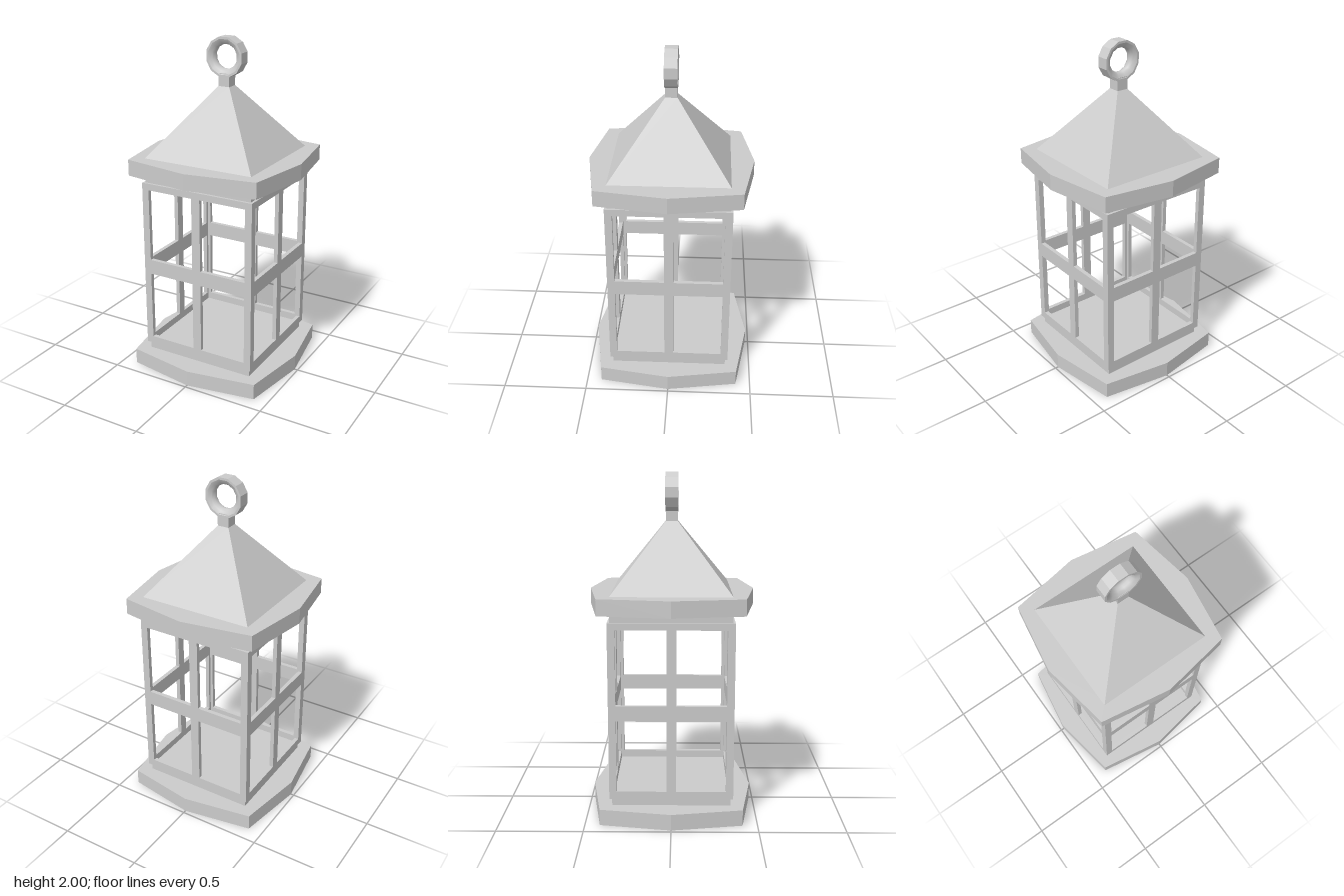
import * as THREE from 'three';

const flat = new THREE.MeshStandardMaterial({ color: 0xcccccc, flatShading: true });
const thin = new THREE.MeshStandardMaterial({ color: 0xcccccc, flatShading: true, side: THREE.DoubleSide });
const smooth = new THREE.MeshStandardMaterial({ color: 0xcccccc });

function add(parent, name, geometry, material = flat) {
  const mesh = new THREE.Mesh(geometry, material);
  mesh.name = name;
  parent.add(mesh);
  return mesh;
}

// rectangular outline, as a Shape or a hole Path
function rect(Type, x0, y0, x1, y1) {
  return new Type([[x0, y0], [x1, y0], [x1, y1], [x0, y1]].map(([x, y]) => new THREE.Vector2(x, y)));
}

// eight-cornered slab outline with slightly bowed sides
function slabShape() {
  const c = 0.413, m = 0.481;
  return new THREE.Shape([[c, c], [0, m], [-c, c], [-m, 0], [-c, -c], [0, -m], [c, -c], [m, 0]]
    .map(([x, y]) => new THREE.Vector2(x, y)));
}

// extrude a floor-plan outline upward from y0 to y1
function rise(shape, y0, y1) {
  return new THREE.ExtrudeGeometry(shape, { depth: y1 - y0, bevelEnabled: false })
    .rotateX(-Math.PI / 2).translate(0, y0, 0);
}

export function createModel() {
  const lantern = new THREE.Group();
  lantern.name = 'lantern';

  // base and raised floor
  add(lantern, 'baseSlab', rise(slabShape(), 0, 0.095));
  add(lantern, 'floorPlinth', rise(rect(THREE.Shape, -0.345, -0.345, 0.345, 0.345), 0.095, 0.14));

  // four window frames, each with four panes left open
  for (let i = 0; i < 4; i++) {
    const half = i % 2 ? 0.335 : 0.36;
    const shape = rect(THREE.Shape, -half, 0.14, half, 1.18);
    for (const [x0, x1] of [[-0.317, -0.027], [0.027, 0.317]])
      for (const [y0, y1] of [[0.185, 0.61], [0.7, 1.14]])
        shape.holes.push(rect(THREE.Path, x0, y0, x1, y1));
    const geometry = new THREE.ExtrudeGeometry(shape, { depth: 0.025, bevelEnabled: false });
    geometry.translate(0, 0, 0.335).rotateY(i * Math.PI / 2);
    add(lantern, 'windowFrame', geometry);
  }

  // collar and eave, open to the hollow roof
  const collar = rect(THREE.Shape, -0.345, -0.345, 0.345, 0.345);
  const eave = slabShape();
  for (const s of [collar, eave]) s.holes.push(rect(THREE.Path, -0.325, -0.325, 0.325, 0.325));
  add(lantern, 'collar', rise(collar, 1.18, 1.23));
  add(lantern, 'eaveSlab', rise(eave, 1.23, 1.325));

  // pyramid roof
  const roof = new THREE.CylinderGeometry(0.035 * Math.SQRT2, 0.345 * Math.SQRT2, 0.395, 4, 1, true);
  add(lantern, 'roof', roof.rotateY(Math.PI / 4).translate(0, 1.5225, 0), thin);

  // stem and hanging ring with a flared hole
  add(lantern, 'ringStem', new THREE.BoxGeometry(0.07, 0.08, 0.07).translate(0, 1.755, 0));
  const ring = new THREE.Group();
  ring.name = 'hangingRing';
  ring.position.y = 1.887;
  lantern.add(ring);
  const lathe = (points) => new THREE.LatheGeometry(
    points.map(([r, y]) => new THREE.Vector2(r, y)), 12, Math.PI / 12).rotateX(Math.PI / 2);
  add(ring, 'ringBand', lathe([[0.104, -0.037], [0.117, -0.037], [0.117, 0.037], [0.104, 0.037]]));
  add(ring, 'ringHole', lathe([[0.104, 0.037], [0.083, 0.027], [0.073, 0.013], [0.07, 0],
    [0.073, -0.013], [0.083, -0.027], [0.104, -0.037]]), smooth);

  return lantern;
}
